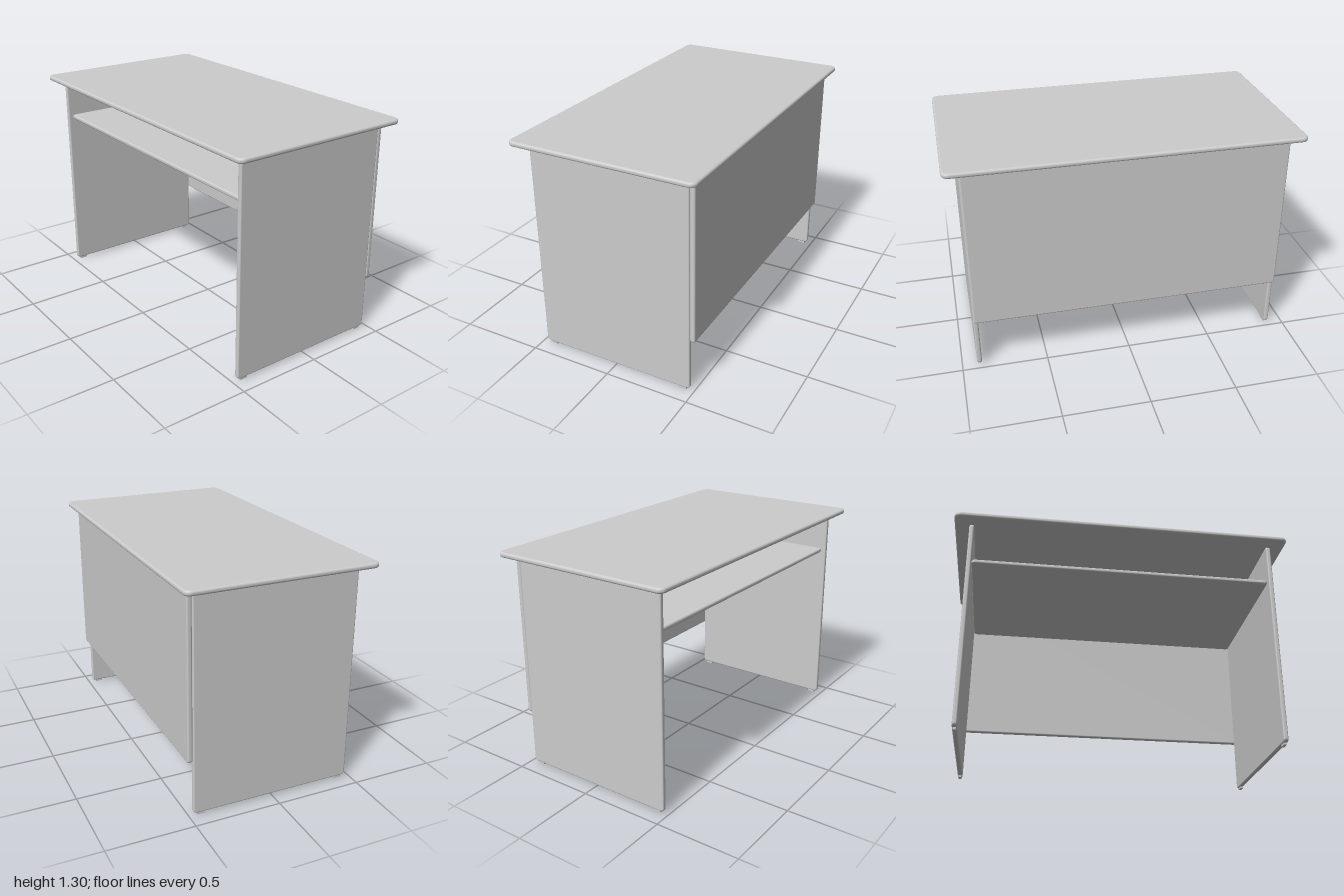
import * as THREE from 'three';

const material = new THREE.MeshStandardMaterial({ color: 0xcccccc });

// Board in the XY plane, centred, with corner radius r and edges rounded by b.
function boardGeometry(w, h, t, r, b) {
  const x = w / 2, y = h / 2;
  const s = new THREE.Shape();
  s.moveTo(-x + r, -y);
  s.lineTo(x - r, -y);
  s.absarc(x - r, -y + r, r, -Math.PI / 2, 0);
  s.lineTo(x, y - r);
  s.absarc(x - r, y - r, r, 0, Math.PI / 2);
  s.lineTo(-x + r, y);
  s.absarc(-x + r, y - r, r, Math.PI / 2, Math.PI);
  s.lineTo(-x, -y + r);
  s.absarc(-x + r, -y + r, r, Math.PI, Math.PI * 1.5);
  const g = new THREE.ExtrudeGeometry(s, {
    depth: t - 2 * b, bevelThickness: b, bevelSize: b, bevelOffset: -b,
    bevelSegments: 5, curveSegments: 8,
  });
  g.translate(0, 0, b - t / 2);

  // Exact normals: flat faces stay flat, rounded edges shade smoothly
  const p = g.attributes.position, n = g.attributes.normal;
  for (let i = 0; i < p.count; i++) {
    const px = p.getX(i), py = p.getY(i), pz = p.getZ(i);
    const qx = Math.max(Math.abs(px) - (x - r), 0) * Math.sign(px);
    const qy = Math.max(Math.abs(py) - (y - r), 0) * Math.sign(py);
    const nz = Math.min(Math.max(Math.abs(pz) - (t / 2 - b), 0) / b, 1) * Math.sign(pz);
    const k = Math.sqrt(1 - nz * nz) / (Math.hypot(qx, qy) || 1);
    n.setXYZ(i, qx * k, qy * k, nz);
  }
  return g;
}

export function createModel() {
  const desk = new THREE.Group();
  desk.name = 'desk';

  function add(name, geometry, x, y, z) {
    const mesh = new THREE.Mesh(geometry, material);
    mesh.name = name;
    mesh.position.set(x, y, z);
    desk.add(mesh);
  }

  // Table top
  add('tableTop', boardGeometry(2, 1.1, 0.03, 0.04, 0.013).rotateX(-Math.PI / 2), 0, 1.29, 0);

  // Shelf between the side panels, up to the back panel
  add('shelf', boardGeometry(1.77, 0.925, 0.026, 0.02, 0.01).rotateX(-Math.PI / 2), 0, 1.037, -0.0125);

  // Back panel, fixed behind the side panels
  add('backPanel', boardGeometry(1.82, 0.95, 0.03, 0.015, 0.01), 0, 0.8, -0.49);

  // Side panels, each on two small feet
  const side = boardGeometry(0.95, 1.263, 0.028, 0.02, 0.009).rotateY(Math.PI / 2);
  const foot = new THREE.BoxGeometry(0.018, 0.016, 0.045);
  for (const [label, sx] of [['left', 1], ['right', -1]]) {
    add(label + 'SidePanel', side, sx * 0.899, 0.6435, 0);
    add(label + 'FrontFoot', foot, sx * 0.899, 0.008, 0.43);
    add(label + 'BackFoot', foot, sx * 0.899, 0.008, -0.43);
  }
  return desk;
}
